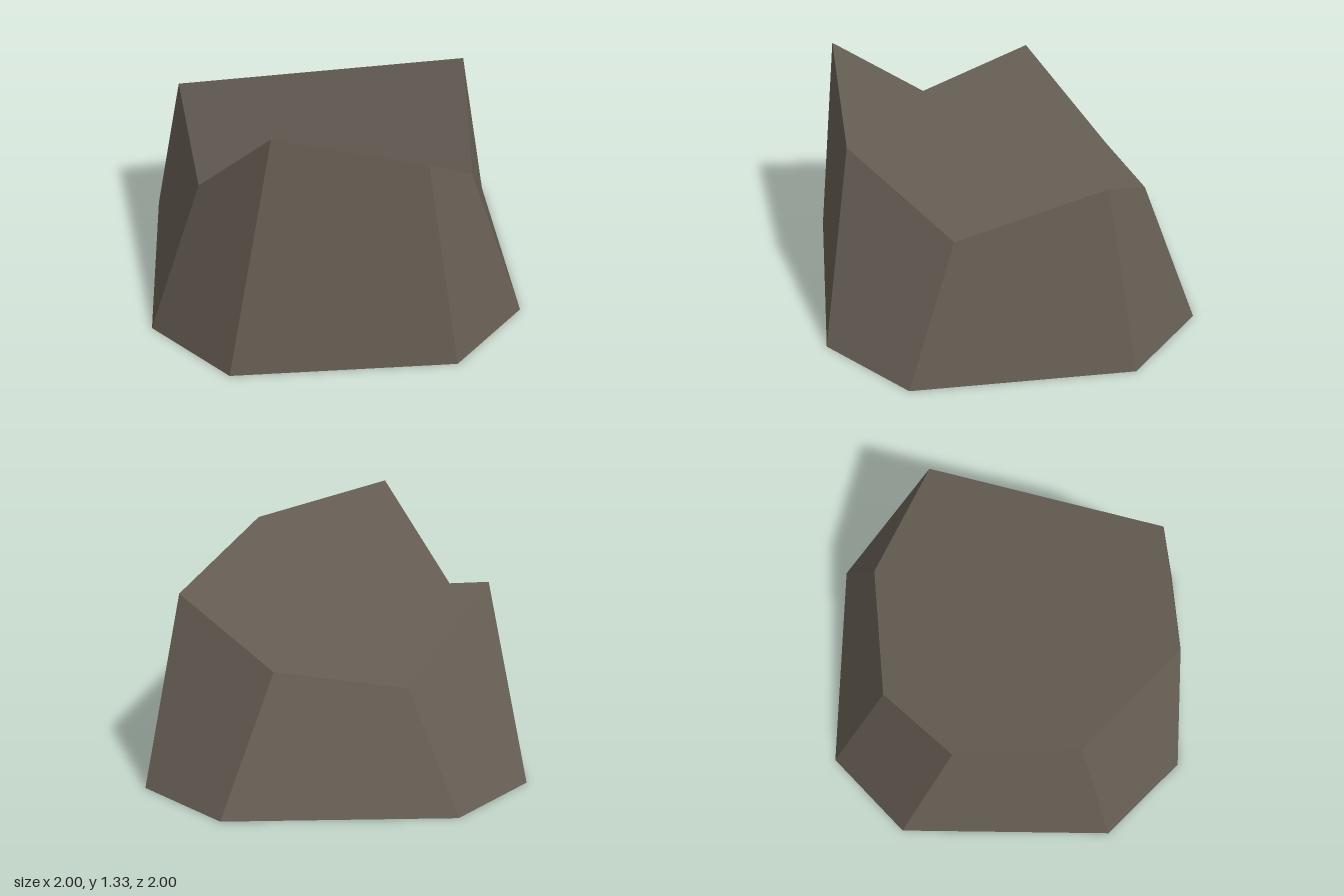
import * as THREE from 'three';

// Rim corners of the sloping top, counter-clockwise from above, starting front left of the picture plane
const rim = [
  [-0.34, 1.33, 0.86], [0.42, 1.12, 0.82], [0.74, 0.72, 0.32], [0.80, 1.01, -0.44],
  [0.32, 0.69, -0.75], [-0.36, 0.57, -0.68], [-0.81, 1.01, -0.27], [-0.71, 0.78, 0.40],
].map((p) => new THREE.Vector3(...p));

// Octagonal footprint, matching the rim corner by corner
const foot = [
  [-0.59, 1], [0.59, 1], [1, 0.59], [1, -0.59],
  [0.59, -1], [-0.59, -1], [-1, -0.59], [-1, 0.59],
].map(([x, z]) => new THREE.Vector3(x, 0, z));

// Averaged normal of a slightly bent polygon, so each facet shades as one flat face
function facetNormal(points) {
  const n = new THREE.Vector3();
  points.forEach((p, i) => {
    n.add(new THREE.Vector3().crossVectors(p, points[(i + 1) % points.length]));
  });
  return n.normalize();
}

// Fan of triangles from the first corner of each polygon
function facets(polygons) {
  const positions = [];
  const normals = [];
  for (const points of polygons) {
    const n = facetNormal(points);
    for (let i = 1; i < points.length - 1; i++) {
      for (const p of [points[0], points[i], points[i + 1]]) {
        positions.push(p.x, p.y, p.z);
        normals.push(n.x, n.y, n.z);
      }
    }
  }
  const geometry = new THREE.BufferGeometry();
  geometry.setAttribute('position', new THREE.Float32BufferAttribute(positions, 3));
  geometry.setAttribute('normal', new THREE.Float32BufferAttribute(normals, 3));
  return geometry;
}

export function createModel() {
  const stone = new THREE.MeshStandardMaterial({ color: 0x655d53 });
  stone.name = 'stone';

  const group = new THREE.Group();
  group.name = 'rock';
  const add = (name, polygons) => {
    const mesh = new THREE.Mesh(facets(polygons), stone);
    mesh.name = name;
    group.add(mesh);
  };

  // Eight leaning sides, each split from its upper corner
  add('sides', rim.map((top, i) => {
    const j = (i + 1) % rim.length;
    return [top, foot[i], foot[j], rim[j]];
  }));

  // Uneven top, fanned from its back right corner
  add('top', [[...rim.slice(3), ...rim.slice(0, 3)]]);

  // Flat underside
  add('underside', [[...foot].reverse()]);

  return group;
}
